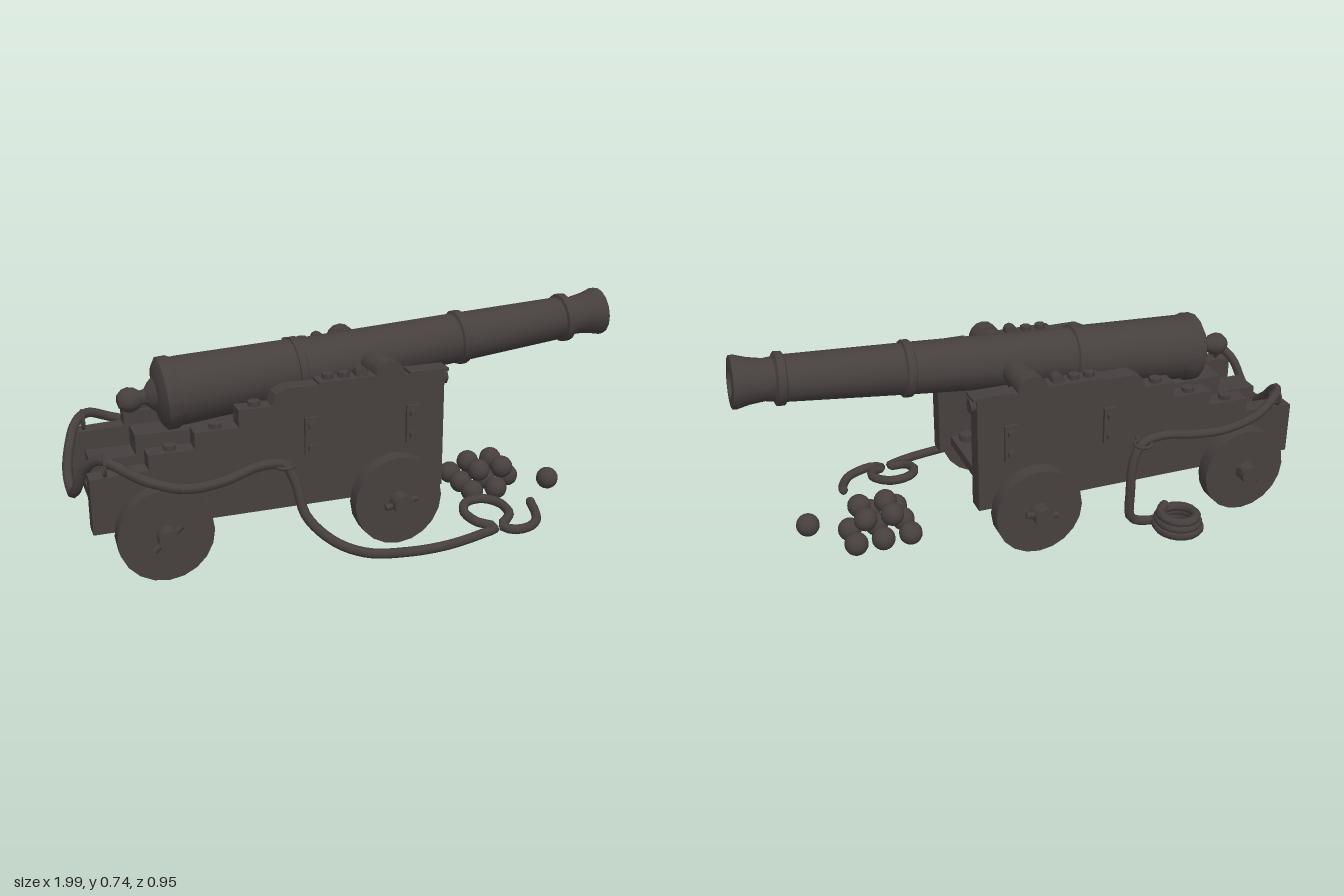
import * as THREE from 'three';
import { toCreasedNormals } from 'three/addons/utils/BufferGeometryUtils.js';

export function createModel() {
  const model = new THREE.Group();
  const iron = new THREE.MeshStandardMaterial({ color: 0x463f3e });
  iron.name = 'darkIron';
  const V = (x, y, z) => new THREE.Vector3(x, y, z);

  function add(name, geo, x = 0, y = 0, z = 0, parent = model) {
    const mesh = new THREE.Mesh(geo, iron);
    mesh.name = name;
    mesh.position.set(x, y, z);
    parent.add(mesh);
    return mesh;
  }
  const box = (w, h, d) => new THREE.BoxGeometry(w, h, d);
  // cylinder lying along z
  const rod = (r, length, sides = 14) =>
    toCreasedNormals(new THREE.CylinderGeometry(r, r, length, sides).rotateX(Math.PI / 2), 0.8);
  // small upright hexagonal bolt head
  const bolt = (r, h) => new THREE.CylinderGeometry(r, r, h, 6).toNonIndexed();

  // Barrel: cascabel, breech, reinforcing rings, muzzle flare and bore
  const profile = [
    [0, -0.155], [0.022, -0.15], [0.038, -0.132], [0.042, -0.112], [0.036, -0.09], [0.024, -0.075],
    [0.026, -0.06], [0.045, -0.045], [0.06, -0.028], [0.1, -0.02], [0.123, -0.005], [0.123, 0.03],
    [0.115, 0.045], [0.116, 0.06], [0.103, 0.45], [0.109, 0.452], [0.109, 0.478], [0.1, 0.482],
    [0.088, 1.055], [0.097, 1.06], [0.097, 1.085], [0.087, 1.09],
    [0.077, 1.475], [0.088, 1.48], [0.088, 1.505], [0.073, 1.512], [0.069, 1.54],
    [0.076, 1.59], [0.087, 1.63], [0.086, 1.645], [0.051, 1.648], [0.049, 1.25], [0, 1.24],
  ].map(([r, s]) => new THREE.Vector2(r, s));
  const barrel = add('barrel', toCreasedNormals(new THREE.LatheGeometry(profile, 16), 0.6), -0.66, 0.525, 0.003);
  barrel.rotation.z = -Math.PI / 2 + Math.atan(0.082);
  add('trunnionBar', rod(0.047, 0.42), 0.05, 0.58, 0);

  // Carriage bed with quoin wedge under the breech
  add('bed', box(1.15, 0.035, 0.275), -0.36, 0.232, 0.004);
  const wedge = new THREE.Shape([[-0.92, 0.25], [-0.42, 0.25], [-0.42, 0.4], [-0.66, 0.41], [-0.77, 0.41],
    [-0.77, 0.34], [-0.92, 0.34]].map(([x, y]) => new THREE.Vector2(x, y)));
  add('quoin', new THREE.ExtrudeGeometry(wedge, { depth: 0.11, bevelEnabled: false }), 0, 0, -0.05);
  for (const x of [-0.89, 0.17])
    for (const z of [-0.09, 0.1]) add('bedBolt', bolt(0.027, 0.025), x, 0.26, z);

  // Stepped cheek outline
  const cheek = new THREE.Shape([
    [-0.95, 0.166], [0.245, 0.166], [0.245, 0.578], [-0.31, 0.578], [-0.345, 0.56], [-0.36, 0.524],
    [-0.47, 0.524], [-0.47, 0.465], [-0.615, 0.465], [-0.615, 0.41], [-0.765, 0.41],
    [-0.765, 0.36], [-0.95, 0.352],
  ].map(([x, y]) => new THREE.Vector2(x, y)));
  const cheekGeo = new THREE.ExtrudeGeometry(cheek, { depth: 0.065, bevelEnabled: false });

  for (const s of [1, -1]) {
    const side = new THREE.Group();
    side.name = s > 0 ? 'frontSide' : 'backSide';
    model.add(side);
    const part = (name, geo, x, y, z) => add(name, geo, x, y, s * z, side);
    part('cheek', cheekGeo, 0, 0, 0.2175).position.z = s > 0 ? 0.186 : -0.251;

    // Cap squares over the trunnions
    part('trunnionCap', rod(0.052, 0.058), 0.05, 0.58, 0.222);
    part('capStrap', box(0.2, 0.01, 0.068), -0.1, 0.582, 0.22);
    part('capStrap', box(0.14, 0.01, 0.068), 0.19, 0.582, 0.22);
    for (const x of [-0.16, -0.105]) part('capBolt', bolt(0.02, 0.025), x, 0.592, 0.22);
    part('capHinge', rod(0.022, 0.04, 8), -0.045, 0.595, 0.22);
    part('frontBolt', bolt(0.026, 0.02).rotateZ(Math.PI / 2), 0.253, 0.55, 0.22);
    for (const [x, y] of [[-0.41, 0.53], [-0.54, 0.471], [-0.69, 0.416]])
      part('stepBolt', bolt(0.022, 0.02), x, y, 0.22);

    // Side plates with bolts
    for (const x of [-0.228, 0.13]) {
      part('sidePlate', box(0.048, 0.13, 0.016), x, 0.408, 0.255);
      for (const y of [0.445, 0.37]) part('plateBolt', rod(0.016, 0.03, 6), x, y, 0.262);
    }

    // Eye rings holding the rope
    const ring = part('ropeRing', new THREE.TorusGeometry(0.03, 0.006, 6, 14), -0.335, 0.335, 0.3);
    ring.rotation.x = Math.PI / 2;
    part('ringStem', rod(0.008, 0.04, 6), -0.335, 0.335, 0.26);
    const rear = part('rearRing', new THREE.TorusGeometry(0.032, 0.006, 6, 14), -0.9, 0.385, 0.225);
    rear.rotation.y = Math.PI / 2;

    // Wheels, axle ends and linchpins
    for (const x of [-0.733, 0.055]) {
      part('wheel', rod(0.155, 0.054, 20), x, 0.163, 0.298);
      part('axleEnd', rod(0.034, 0.16, 12), x, 0.165, 0.295);
      const pin = part('linchpin', new THREE.CylinderGeometry(0.011, 0.011, 0.115, 6), x, 0.165, 0.347);
      pin.rotation.z = x < 0 ? -0.9 : 1.75;
    }
  }
  for (const x of [-0.733, 0.055]) add('axle', rod(0.053, 0.49), x, 0.158, 0.005);

  // Rope: front loose end with a loop, along the side, behind the carriage, then a coil
  const points = [V(0.6, 0.045, 0.25), V(0.585, 0.03, 0.32), V(0.54, 0.025, 0.385), V(0.45, 0.03, 0.41)];
  for (let i = 0; i <= 7; i++) {
    const a = 0.6 - i * 0.85;
    points.push(V(0.4 + 0.08 * Math.cos(a + 0.7), 0.035 + 0.035 * Math.sin(i * 0.45), 0.295 + 0.085 * Math.sin(a + 0.7)));
  }
  points.push(
    V(0.33, 0.035, 0.41), V(0.18, 0.032, 0.445), V(0.04, 0.035, 0.452), V(-0.1, 0.045, 0.43), V(-0.2, 0.085, 0.39),
    V(-0.28, 0.17, 0.345), V(-0.305, 0.28, 0.315), V(-0.335, 0.337, 0.298), V(-0.42, 0.35, 0.31),
    V(-0.55, 0.325, 0.335), V(-0.67, 0.32, 0.34), V(-0.79, 0.35, 0.3), V(-0.87, 0.395, 0.265),
    V(-0.91, 0.4, 0.21), V(-0.95, 0.36, 0.165), V(-0.98, 0.27, 0.12), V(-0.985, 0.24, 0.04), V(-0.985, 0.28, -0.03),
    V(-0.965, 0.34, -0.1), V(-0.93, 0.39, -0.18), V(-0.88, 0.4, -0.25), V(-0.79, 0.36, -0.29), V(-0.67, 0.325, -0.29),
    V(-0.55, 0.325, -0.285), V(-0.42, 0.345, -0.285), V(-0.335, 0.335, -0.295), V(-0.3, 0.28, -0.305),
    V(-0.29, 0.16, -0.31), V(-0.3, 0.05, -0.305), V(-0.36, 0.025, -0.305));
  for (let i = 0; i <= 24; i++) {
    const a = 1.3 + i * 0.78, r = 0.08 - i * 0.0008;
    points.push(V(-0.44 + r * Math.cos(a), 0.025 + i * 0.0027, -0.385 + r * Math.sin(a)));
  }
  add('rope', new THREE.TubeGeometry(new THREE.CatmullRomCurve3(points, false, 'centripetal'), 220, 0.017, 7));
  for (const p of [points[0], points[points.length - 1]])
    add('ropeEnd', new THREE.SphereGeometry(0.017, 7, 5), p.x, p.y, p.z);

  // Cannonballs: ground layer, upper layer and one loose ball
  const balls = [[0.77, 0.042, 0.068]];
  for (const x of [0.448, 0.545, 0.64])
    for (const z of [-0.11, -0.012, 0.085]) if (x < 0.6 || z < 0.05) balls.push([x, 0.042, z]);
  for (const x of [0.497, 0.592])
    for (const z of [-0.06, 0.035]) balls.push([x, 0.1, z]);
  const ballGeo = new THREE.SphereGeometry(0.041, 16, 12);
  for (const [x, y, z] of balls) add('cannonball', ballGeo, x, y, z);

  return model;
}
